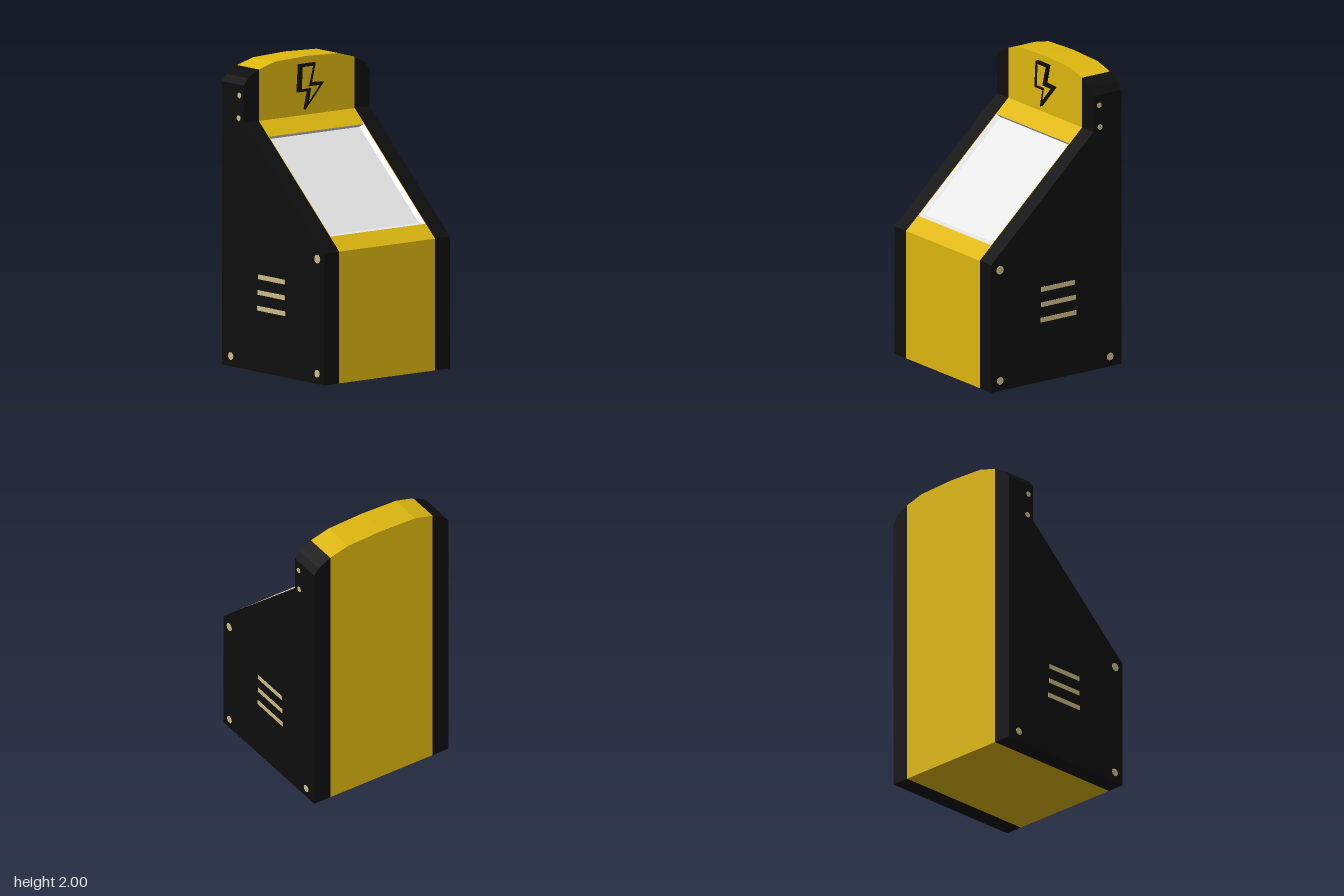
import * as THREE from 'three';

const mat = (name, color) => {
  const m = new THREE.MeshStandardMaterial({ color });
  m.name = name;
  return m;
};

// flat-shaded mesh from quads / convex polygons (each a list of [x, y, z], counter-clockwise)
function polyMesh(name, polys, material) {
  const pos = [];
  for (const p of polys)
    for (let i = 1; i < p.length - 1; i++) pos.push(...p[0], ...p[i], ...p[i + 1]);
  const g = new THREE.BufferGeometry();
  g.setAttribute('position', new THREE.Float32BufferAttribute(pos, 3));
  g.computeVertexNormals();
  const m = new THREE.Mesh(g, material);
  m.name = name;
  return m;
}

// quads joining two four-cornered loops
const ring = (a, b) => a.map((p, i) => {
  const j = (i + 1) % a.length;
  return [p, a[j], b[j], b[i]];
});

// side profile at a given x, starting at the back bottom corner
const profile = (x, top) => [
  [x, 0, -0.525], [x, 0, 0.525], [x, 0.865, 0.525],
  [x, 1.615, -0.3], [x, top, -0.3], [x, top, -0.525],
];
const SLOPE = 2;

// skin between neighbouring cross-sections
function skin(sections, skip = -1) {
  const out = [];
  for (let k = 0; k < sections.length - 1; k++) {
    const a = profile(...sections[k]), b = profile(...sections[k + 1]);
    a.forEach((p, i) => {
      const j = (i + 1) % a.length;
      if (i !== skip) out.push([p, b[i], b[j], a[j]]);
    });
  }
  return out;
}

export function createModel() {
  const yellow = mat('cabinet yellow', 0xdeb710);
  const black = mat('panel black', 0x0e0e0e);
  const glass = mat('screen light grey', 0xe8e8e8);
  const tan = mat('fitting tan', 0xcdbb86);

  const model = new THREE.Group();
  model.name = 'arcadeCabinet';

  // arched centre body with an opening in the sloping face
  const body = skin([[-0.4, 1.953], [-0.265, 1.99], [0, 2], [0.265, 1.99], [0.4, 1.953]], SLOPE);
  const loop = (x, yb, zb, yt, zt) => [[-x, yb, zb], [x, yb, zb], [x, yt, zt], [-x, yt, zt]];
  const slope = loop(0.4, 0.865, 0.525, 1.615, -0.3);
  const opening = loop(0.395, 0.951, 0.43, 1.524, -0.2);
  const inner = loop(0.373, 0.955, 0.39, 1.505, -0.218);
  model.add(polyMesh('body', [...body, ...ring(slope, opening)], yellow));

  // recessed screen
  model.add(polyMesh('screenBezel', ring(opening, inner), glass));
  model.add(polyMesh('screen', [inner], glass));

  // lightning bolt outline on the marquee
  const pts = (a) => a.map(([x, y]) => new THREE.Vector2(x, y));
  const bolt = new THREE.Shape(pts([[-0.075, 1.953], [0.057, 1.953], [0.025, 1.825], [0.125, 1.82],
    [-0.028, 1.653], [0.0, 1.772], [-0.087, 1.772]]));
  bolt.holes.push(new THREE.Path(pts([[-0.052, 1.935], [0.035, 1.935], [0.0, 1.803], [0.09, 1.803],
    [0.0, 1.703], [0.018, 1.79], [-0.06, 1.79]])));
  const boltMesh = new THREE.Mesh(
    new THREE.ExtrudeGeometry(bolt, { depth: 0.024, bevelEnabled: false }), black);
  boltMesh.name = 'lightningBolt';
  boltMesh.position.z = -0.301;
  model.add(boltMesh);

  // black side panels with rounded shoulders, bolts and vents
  for (const s of [1, -1]) {
    const side = new THREE.Group();
    side.name = s > 0 ? 'leftSide' : 'rightSide';
    const sections = [[0.4, 1.953], [0.49, 1.905], [0.525, 1.86]].map(([x, y]) => [s * x, y]);
    if (s < 0) sections.reverse();
    const cap = profile(s * 0.525, 1.86);
    if (s > 0) cap.push(cap.shift()), cap.reverse();
    side.add(polyMesh('sidePanel', [...skin(sections), cap], black));

    // bolt heads: z, y, radius
    for (const [z, y, r] of [[0.455, 0.82, 0.029], [0.453, 0.067, 0.026], [-0.433, 0.067, 0.026],
      [-0.345, 1.79, 0.019], [-0.352, 1.64, 0.019]]) {
      const head = new THREE.Mesh(new THREE.CylinderGeometry(r, r, 0.004, 10), tan);
      head.name = 'boltHead';
      head.rotation.z = Math.PI / 2;
      head.position.set(s * 0.526, y, z);
      side.add(head);
    }
    // vent slots: y, front z, back z
    for (const [y, z0, z1] of [[0.625, 0.123, -0.15], [0.522, 0.122, -0.155], [0.418, 0.127, -0.162]]) {
      const vent = new THREE.Mesh(new THREE.BoxGeometry(0.004, 0.031, z0 - z1), tan);
      vent.name = 'vent';
      vent.position.set(s * 0.526, y, (z0 + z1) / 2);
      side.add(vent);
    }
    model.add(side);
  }
  return model;
}
